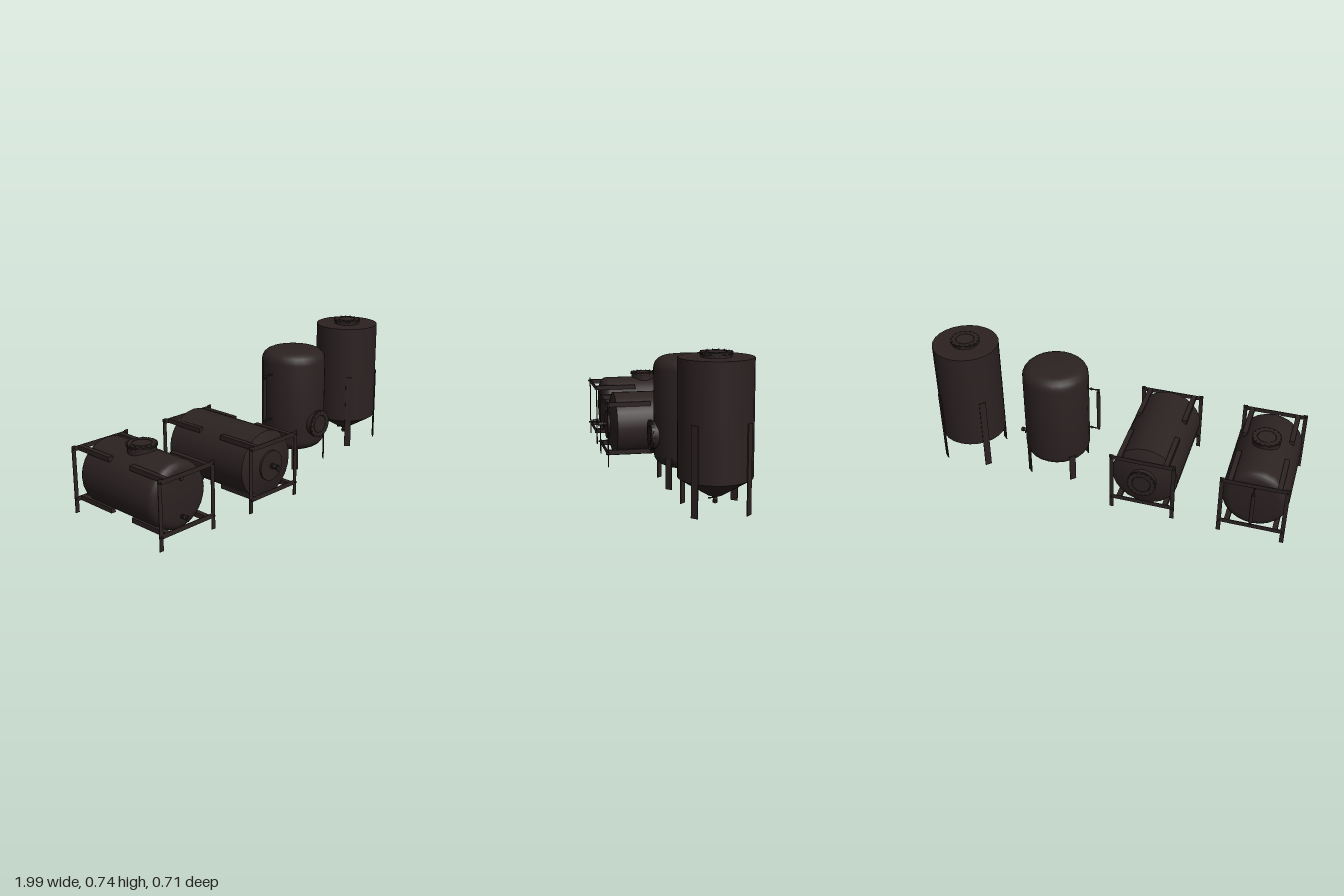
import * as THREE from 'three';
import { toCreasedNormals } from 'three/addons/utils/BufferGeometryUtils.js';

const steel = new THREE.MeshStandardMaterial({ color: 0x2c2222 });
steel.name = 'dark steel';
const SIDES = 24;
const UP = new THREE.Vector3(0, 1, 0);

function add(parent, name, geo, x = 0, y = 0, z = 0) {
  const m = new THREE.Mesh(geo, steel);
  m.name = name;
  m.position.set(x, y, z);
  parent.add(m);
  return m;
}
const box = (p, name, w, h, d, x, y, z) => add(p, name, new THREE.BoxGeometry(w, h, d), x, y, z);

// Cylinder along the local y axis, standing on height y0
const rod = (p, name, r, len, y0, x = 0, z = 0, n = 12) =>
  add(p, name, new THREE.CylinderGeometry(r, r, len, n), x, y0 + len / 2, z);

// Group whose local +y points along dir
function mount(parent, name, pos, dir) {
  const g = new THREE.Group();
  g.name = name;
  g.position.set(...pos);
  g.quaternion.setFromUnitVectors(UP, new THREE.Vector3(...dir).normalize());
  parent.add(g);
  return g;
}

function tankGroup(parent, name, x, z) {
  const g = new THREE.Group();
  g.name = name;
  g.position.set(x, 0, z);
  parent.add(g);
  return g;
}

// Turned vessel from [radius, height] pairs, bottom to top
function vessel(parent, name, pts) {
  const geo = new THREE.LatheGeometry(pts.map(p => new THREE.Vector2(...p)), SIDES);
  return add(parent, name, toCreasedNormals(geo, 0.6));
}

// Profile with rounded shoulders and slightly domed ends
function roundedProfile(r, y0, y1, c, dome) {
  const top = [], n = 5;
  for (let i = 0; i <= n; i++) {
    const a = (i / n) * Math.PI / 2;
    top.push([r - c + c * Math.cos(a), (c - dome) * Math.sin(a)]);
  }
  top.push([0, c]);
  const low = top.map(([px, h]) => [px, y0 + c - h]).reverse();
  return [...low, ...top.map(([px, h]) => [px, y1 - c + h])];
}

// Bolted hatch: neck, two flange rings, lid and bolts
function manhole(parent, pos, dir, neck, r = 0.077) {
  const g = mount(parent, 'manhole', pos, dir);
  rod(g, 'neck', r * 0.93, neck + 0.02, -0.02, 0, 0, SIDES);
  rod(g, 'lowerFlange', r, 0.005, neck, 0, 0, SIDES);
  rod(g, 'gasket', r * 0.95, 0.002, neck + 0.005, 0, 0, SIDES);
  rod(g, 'lid', r, 0.005, neck + 0.007, 0, 0, SIDES);
  const rim = add(g, 'lidRim', new THREE.TorusGeometry(r * 0.64, 0.0025, 6, SIDES), 0, neck + 0.012, 0);
  rim.rotation.x = Math.PI / 2;
  for (let i = 0; i < 16; i++) {
    const a = (i / 16) * Math.PI * 2;
    rod(g, 'bolt', 0.003, 0.02, neck - 0.004, Math.cos(a) * r * 0.92, Math.sin(a) * r * 0.92, 6);
  }
}

// Outlet valve with flanges, ball body and lever
function valve(parent, pos, dir, len, r) {
  const g = mount(parent, 'valve', pos, dir);
  rod(g, 'pipe', r * 0.6, len + 0.02, -0.02);
  for (const t of [0.12, 0.3, 0.7, 0.88]) rod(g, 'flange', r, len * 0.1, len * (t - 0.05));
  add(g, 'ballBody', new THREE.SphereGeometry(r * 0.9, 10, 8), 0, len * 0.5, 0);
  const stem = mount(g, 'stem', [0, len * 0.5, 0], [1, 0, 0]);
  rod(stem, 'spindle', r * 0.25, r * 1.6, 0, 0, 0, 6);
  box(stem, 'lever', r * 0.5, r * 0.25, r * 2.6, 0, r * 1.6, r);
}

// Level gauge: upright tube on two side pipes reaching out along dir
function levelGauge(parent, pos, dir, y0, y1, reach) {
  const g = new THREE.Group();
  g.name = 'levelGauge';
  parent.add(g);
  const [x, z] = [pos[0] + dir[0] * reach, pos[1] + dir[2] * reach];
  rod(g, 'gaugeTube', 0.01, y1 - y0 - 0.026, y0 + 0.013, x, z);
  rod(g, 'gaugeStem', 0.004, y1 - y0 + 0.01, y0 - 0.005, x, z, 8);
  for (const y of [y0, y1]) {
    const arm = mount(g, 'gaugeArm', [pos[0], y, pos[1]], dir);
    rod(arm, 'pipe', 0.0035, reach + 0.032, -0.025, 0, 0, 8);
    rod(arm, 'collar', 0.007, 0.008, reach * 0.35, 0, 0, 8);
    rod(arm, 'endFitting', 0.006, 0.012, reach - 0.006, 0, 0, 8);
  }
}

// Flat end frame of a lying tank, with beams running in along the shell
function endFrame(parent, z, s) {
  const g = new THREE.Group();
  g.name = 'endFrame';
  parent.add(g);
  for (const y of [0.072, 0.338]) box(g, 'crossBar', 0.35, 0.024, 0.004, 0, y, z);
  for (const x of [-1, 1]) {
    box(g, 'post', 0.022, 0.355, 0.004, x * 0.165, 0.1775, z);
    for (const y of [0.072, 0.338]) {
      box(g, 'saddleBeam', 0.026, 0.025, 0.24, x * 0.125, y, z - s * 0.12);
      const b = mount(g, 'cornerBolt', [x * 0.165, y, z - s * 0.008], [0, 0, s]);
      rod(b, 'shank', 0.005, 0.02, 0, 0, 0, 8);
      rod(b, 'head', 0.009, 0.006, 0.003, 0, 0, 8);
    }
  }
}

// Four flat legs set diagonally around an upright tank
function legs(parent, r, top) {
  for (let i = 0; i < 4; i++) {
    const a = Math.PI / 4 + i * Math.PI / 2;
    const leg = box(parent, 'leg', 0.036, top, 0.005, Math.sin(a) * r, top / 2, Math.cos(a) * r);
    leg.rotation.y = a;
  }
}

export function createModel() {
  const model = new THREE.Group();
  model.name = 'storageTanks';
  const R = 0.177, MID = 0.207;

  // Lying tank with rounded ends and a top hatch
  const a = tankGroup(model, 'roundedLyingTank', -0.822, 0);
  const shellA = mount(a, 'shell', [0, MID, 0], [0, 0, 1]);
  vessel(shellA, 'barrel', roundedProfile(0.174, -0.293, 0.275, 0.05, 0.006));
  manhole(a, [0, MID + 0.172, 0], [0, 1, 0], 0.018);
  endFrame(a, 0.312, 1);
  endFrame(a, -0.3225, -1);
  valve(a, [0, 0.11, 0.27], [0, 0, 1], 0.05, 0.012);
  rod(mount(a, 'upperPort', [0, 0.302, 0.265], [0, 0, 1]), 'port', 0.012, 0.016, 0, 0, 0, 16);
  levelGauge(a, [0, -0.285], [0, 0, -1], 0.105, 0.315, 0.062);

  // Lying tank with conical ends and a rear hatch
  const b = tankGroup(model, 'conicalLyingTank', -0.24, 0);
  const shellB = mount(b, 'shell', [0, MID, 0], [0, 0, 1]);
  vessel(shellB, 'barrel', [[0, -0.292], [0.09, -0.29], [R, -0.257], [R, 0.27], [0.09, 0.3], [0, 0.302]]);
  rod(shellB, 'frontPlate', 0.079, 0.02, 0.291, 0, 0, SIDES);
  manhole(b, [0, MID, -0.288], [0, 0, -1], 0.029);
  endFrame(b, 0.3225, 1);
  endFrame(b, -0.31, -1);
  valve(b, [0, MID, 0.309], [0, 0, 1], 0.048, 0.014);

  // Standing tank with rounded ends and a front hatch
  const c = tankGroup(model, 'roundedStandingTank', 0.319, -0.035);
  vessel(c, 'shell', roundedProfile(R, 0.095, 0.66, 0.065, 0.005));
  manhole(c, [0, 0.255, 0.165], [0, 0, 1], 0.023);
  legs(c, R, 0.16);
  valve(c, [0.172, 0.18, 0], [1, 0, 0], 0.046, 0.013);
  rod(mount(c, 'upperPort', [0.165, 0.56, 0], [1, 0, 0]), 'port', 0.012, 0.02, 0, 0, 0, 16);
  levelGauge(c, [-0.172, 0], [-1, 0, 0], 0.285, 0.54, 0.066);

  // Tall standing tank with a funnel bottom and a top hatch
  const d = tankGroup(model, 'funnelStandingTank', 0.818, -0.053);
  vessel(d, 'shell', [[0, 0.07], [0.035, 0.07], [R, 0.157], [R, 0.712], [0, 0.712]]);
  manhole(d, [0, 0.712, 0], [0, 1, 0], 0.012);
  legs(d, R + 0.002, 0.425);
  valve(d, [0, 0.072, 0], [0, -1, 0], 0.042, 0.012);

  return model;
}
